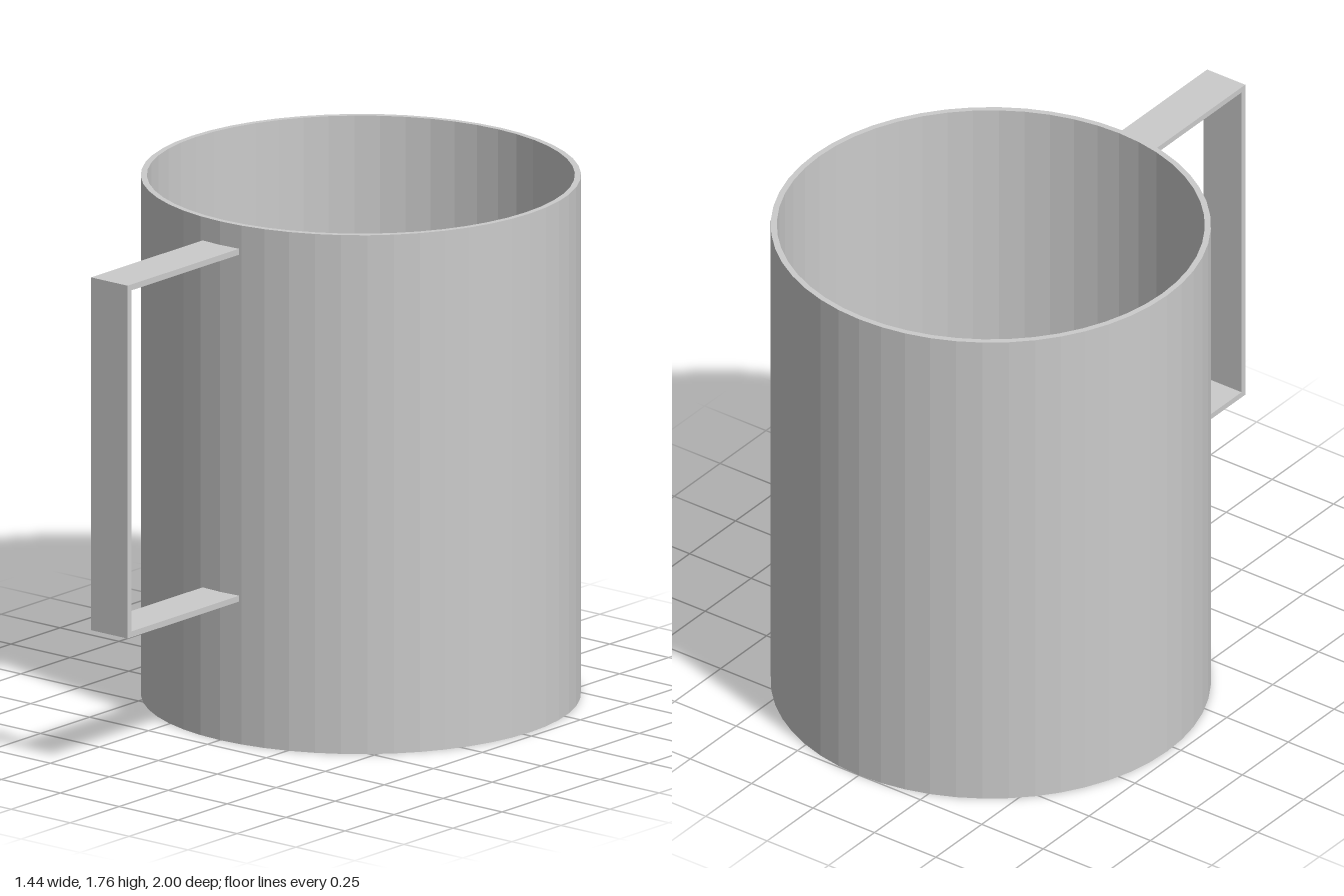
import * as THREE from 'three';

const RADIUS = 0.718, HEIGHT = 1.76, WALL = 0.02, SIDES = 52;
const CENTRE_Z = -0.282;

export function createModel() {
  const mug = new THREE.Group();
  mug.name = 'mug';
  const material = new THREE.MeshStandardMaterial({ color: 0xcccccc, flatShading: true });

  // Hollow cup: underside, outer wall, rim, inner wall, floor
  const inner = RADIUS - WALL;
  const profile = [
    [0, 0], [RADIUS, 0], [RADIUS, HEIGHT], [inner, HEIGHT], [inner, WALL], [0, WALL],
  ].map(([r, y]) => new THREE.Vector2(r, y));
  const cup = new THREE.Mesh(new THREE.LatheGeometry(profile, SIDES), material);
  cup.name = 'cup';
  cup.position.z = CENTRE_Z;
  mug.add(cup);

  // Square handle: a thin C-shaped strap, drawn in (z, y) and extruded across x
  const root = 0.425, front = 1, low = 0.483, high = 1.68, width = 0.155;
  const strap = new THREE.Shape([
    [root, low], [front, low], [front, high], [root, high],
    [root, high - WALL], [front - WALL, high - WALL],
    [front - WALL, low + WALL], [root, low + WALL],
  ].map(([z, y]) => new THREE.Vector2(z, y)));
  const strapGeometry = new THREE.ExtrudeGeometry(strap, { depth: width, bevelEnabled: false });
  strapGeometry.translate(0, 0, -width / 2).rotateY(-Math.PI / 2);
  const handle = new THREE.Mesh(strapGeometry, material);
  handle.name = 'handle';
  mug.add(handle);

  return mug;
}
